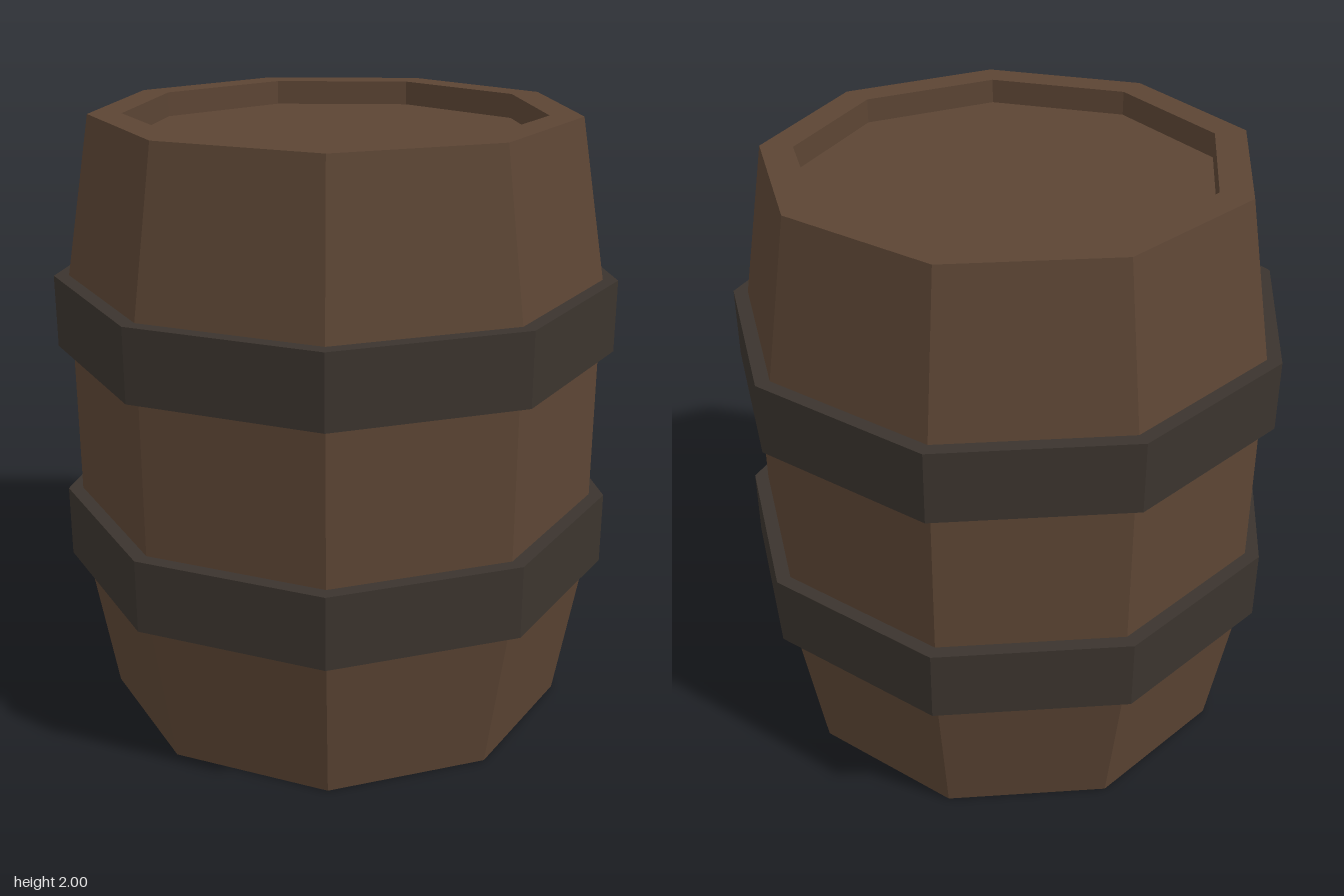
import * as THREE from 'three';

const SIDES = 9;
const wood = new THREE.MeshStandardMaterial({ color: 0x5c4534, flatShading: true });
const iron = new THREE.MeshStandardMaterial({ color: 0x3b342e, flatShading: true });

// Nine-sided turned part from a [radius, y] profile running up the outside, with a corner at the back
function turned(name, profile, material) {
  const points = profile.map(([r, y]) => new THREE.Vector2(r, y));
  const mesh = new THREE.Mesh(new THREE.LatheGeometry(points, SIDES, Math.PI), material);
  mesh.name = name;
  mesh.position.z = 0.026; // centres the odd-sided outline in depth
  return mesh;
}

export function createModel() {
  const barrel = new THREE.Group();
  barrel.name = 'barrel';

  const endR = 0.776, bellyR = 0.863, lidR = 0.67, hoopR = 0.911;
  const recess = 0.08;

  // Staves with rims and sunken wall at both ends
  barrel.add(turned('staves', [
    [lidR, recess], [lidR, 0], [endR, 0], [bellyR, 0.51],
    [bellyR, 1.49], [endR, 2], [lidR, 2], [lidR, 2 - recess],
  ], wood));

  // Sunken end boards
  barrel.add(turned('bottomBoard', [[0, recess], [lidR, recess]], wood));
  barrel.add(turned('topLid', [[lidR, 2 - recess], [0, 2 - recess]], wood));

  // Metal hoops
  for (const [name, y0, y1] of [['lowerHoop', 0.51, 0.75], ['upperHoop', 1.255, 1.49]]) {
    barrel.add(turned(name, [[bellyR - 0.01, y0], [hoopR, y0], [hoopR, y1], [bellyR - 0.01, y1]], iron));
  }

  return barrel;
}
